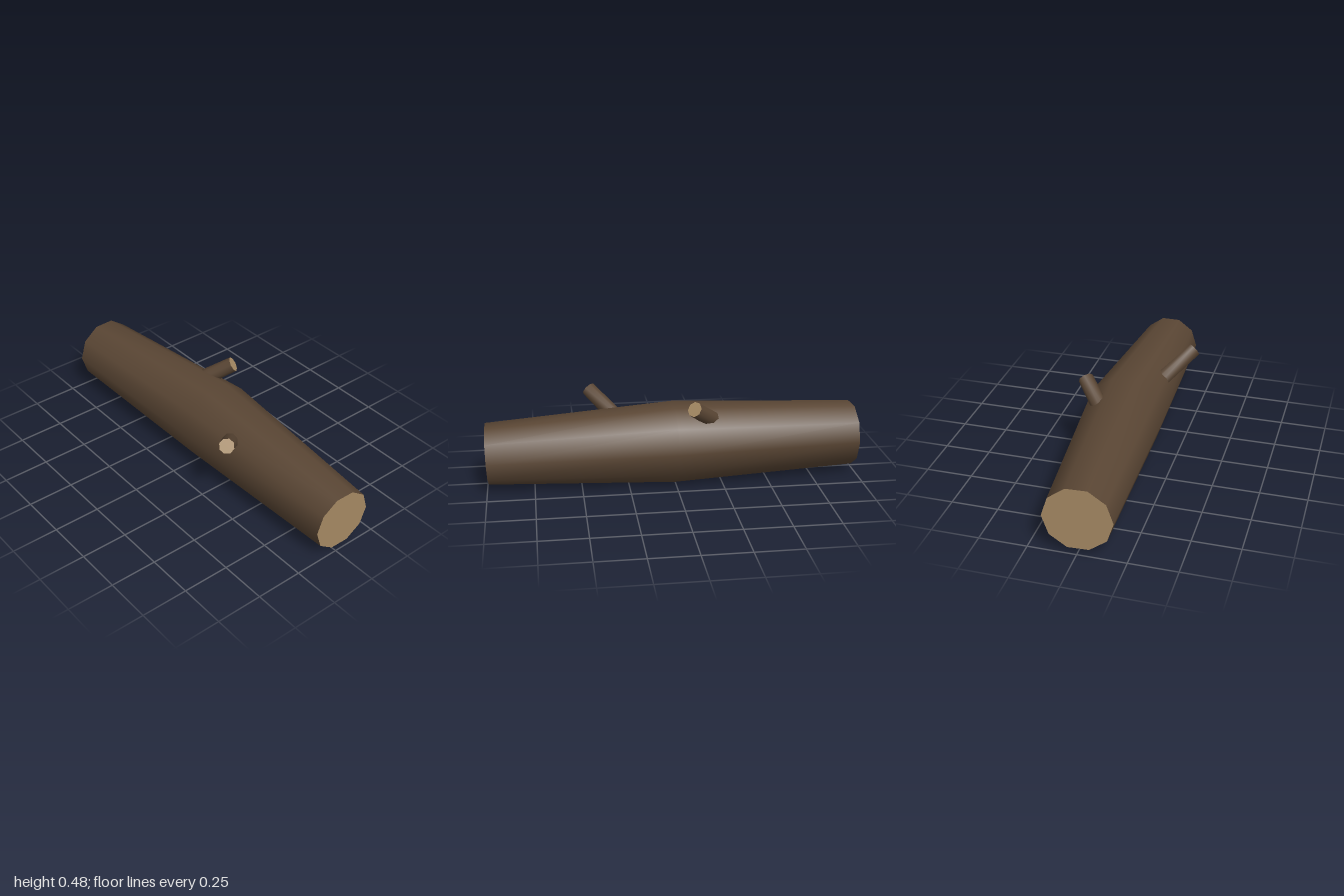
import * as THREE from 'three';

const bark = new THREE.MeshStandardMaterial({ color: 0x5a4634 });
bark.name = 'bark';
const cutWood = new THREE.MeshStandardMaterial({ color: 0xa68a64 });
cutWood.name = 'cutWood';

// Smooth-sided limb swept through [x, y, z, radius] stations, with flat sawn ends.
function makeLimb(name, stations, sides) {
  const centres = stations.map(([x, y, z]) => new THREE.Vector3(x, y, z));
  const last = centres.length - 1;
  const rings = centres.map((centre, i) => {
    const before = centres[Math.max(i - 1, 0)];
    const after = centres[Math.min(i + 1, last)];
    const dir = after.clone().sub(before).normalize();
    const u = new THREE.Vector3(0, 0, 1).addScaledVector(dir, -dir.z).normalize();
    const v = dir.clone().cross(u);
    const r = stations[i][3];
    return Array.from({ length: sides }, (_, j) => {
      const a = (j / sides) * Math.PI * 2;
      return centre.clone()
        .addScaledVector(u, r * Math.cos(a))
        .addScaledVector(v, r * Math.sin(a));
    });
  });

  // Bark between neighbouring rings
  const index = [];
  for (let i = 0; i < last; i++) {
    for (let j = 0; j < sides; j++) {
      const k = (j + 1) % sides;
      const a = i * sides + j, b = i * sides + k;
      index.push(a, b, a + sides, b, b + sides, a + sides);
    }
  }
  const skin = new THREE.BufferGeometry().setFromPoints(rings.flat());
  skin.setIndex(index);
  skin.computeVertexNormals();

  const group = new THREE.Group();
  group.name = name;
  const addMesh = (geometry, material, part) => {
    const mesh = new THREE.Mesh(geometry, material);
    mesh.name = name + part;
    group.add(mesh);
  };
  addMesh(skin, bark, 'Bark');

  // Sawn end faces
  for (const end of [0, last]) {
    const cap = new THREE.BufferGeometry().setFromPoints([centres[end], ...rings[end]]);
    const fan = [];
    for (let j = 0; j < sides; j++) {
      const p = j + 1, q = ((j + 1) % sides) + 1;
      if (end === 0) fan.push(0, q, p);
      else fan.push(0, p, q);
    }
    cap.setIndex(fan);
    cap.computeVertexNormals();
    addMesh(cap, cutWood, end === 0 ? 'StartCut' : 'EndCut');
  }
  return group;
}

export function createModel() {
  const model = new THREE.Group();
  model.name = 'log';

  // Main trunk, thickest in the middle
  model.add(makeLimb('trunk', [
    [-0.991, 0.197, 0.004, 0.176],
    [0, 0.209, -0.047, 0.219],
    [0.995, 0.182, -0.031, 0.164],
  ], 10));

  // Broken-off branch stubs, front and back
  model.add(makeLimb('frontBranch', [
    [0.225, 0.25, 0.03, 0.046],
    [0.435, 0.433, 0.24, 0.04],
  ], 8));
  model.add(makeLimb('backBranch', [
    [-0.265, 0.292, -0.055, 0.046],
    [-0.085, 0.45, -0.235, 0.041],
  ], 8));

  return model;
}
